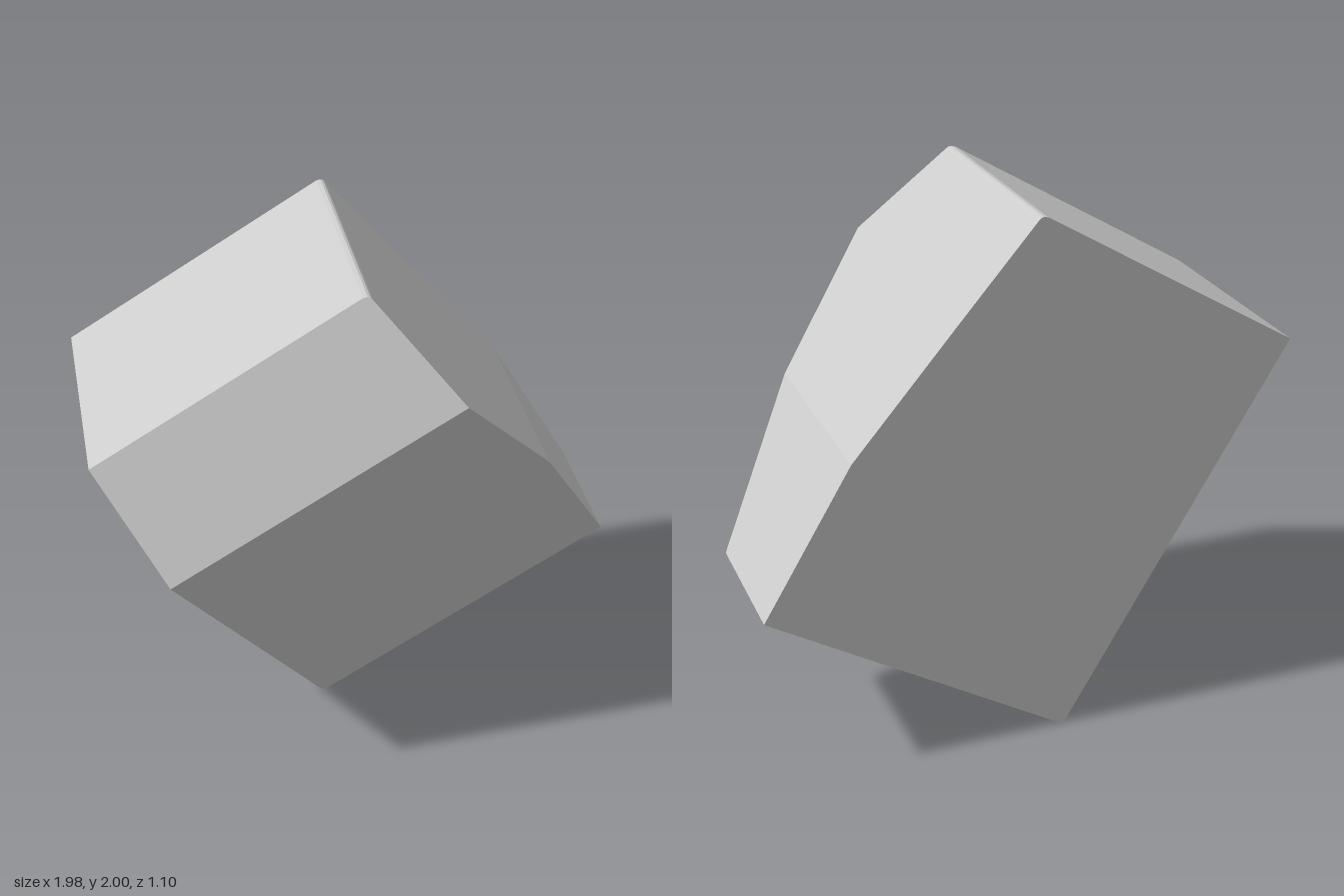
import * as THREE from 'three';

const BACK = -0.55;
const TILT = THREE.MathUtils.degToRad(30.75);

// Cross-sections along the block's own tilted axis: [height, left edge, right edge]
const SECTIONS = [
  [0.061, -0.098, 1.187], // rounded lower corner
  [0.064, -0.109, 1.187],
  [0.072, -0.117, 1.187],
  [0.083, -0.12, 1.187],
  [0.702, -0.12, 1.187], // side starts to taper
  [1.28, -0.12, 1.087], // front ridge
  [1.713, -0.12, 1.01], // rounded upper corner
  [1.724, -0.12, 1.007],
  [1.732, -0.12, 1.0],
  [1.737, -0.12, 0.985],
];

// Front surface rises to the ridge and falls away above it
const frontDepth = (v) => Math.min((v - 0.061) * 0.451, 0.55 - (v - 1.28) * 0.452);

// Rectangular section, counter-clockwise seen from above: front left, front right, back right, back left
function ring([v, left, right]) {
  const z = frontDepth(v);
  return [[left, v, z], [right, v, z], [right, v, BACK], [left, v, BACK]];
}

function createBlockGeometry() {
  const positions = [];
  const quad = (a, b, c, d) => positions.push(...a, ...b, ...c, ...a, ...c, ...d);
  const rings = SECTIONS.map(ring);

  // Four sides between neighbouring sections
  for (let i = 0; i < rings.length - 1; i++) {
    const lo = rings[i];
    const hi = rings[i + 1];
    for (let k = 0; k < 4; k++) {
      const n = (k + 1) % 4;
      quad(lo[k], lo[n], hi[n], hi[k]);
    }
  }

  // End caps
  const [a, b, c, d] = rings[0];
  quad(d, c, b, a);
  quad(...rings[rings.length - 1]);

  const geometry = new THREE.BufferGeometry();
  geometry.setAttribute('position', new THREE.Float32BufferAttribute(positions, 3));
  geometry.rotateZ(TILT);
  geometry.computeVertexNormals();
  return geometry;
}

export function createModel() {
  const group = new THREE.Group();
  group.name = 'tiltedBlock';
  const material = new THREE.MeshStandardMaterial({ color: 0xcccccc, flatShading: true });
  const block = new THREE.Mesh(createBlockGeometry(), material);
  block.name = 'bevelledBlock';
  group.add(block);
  return group;
}
